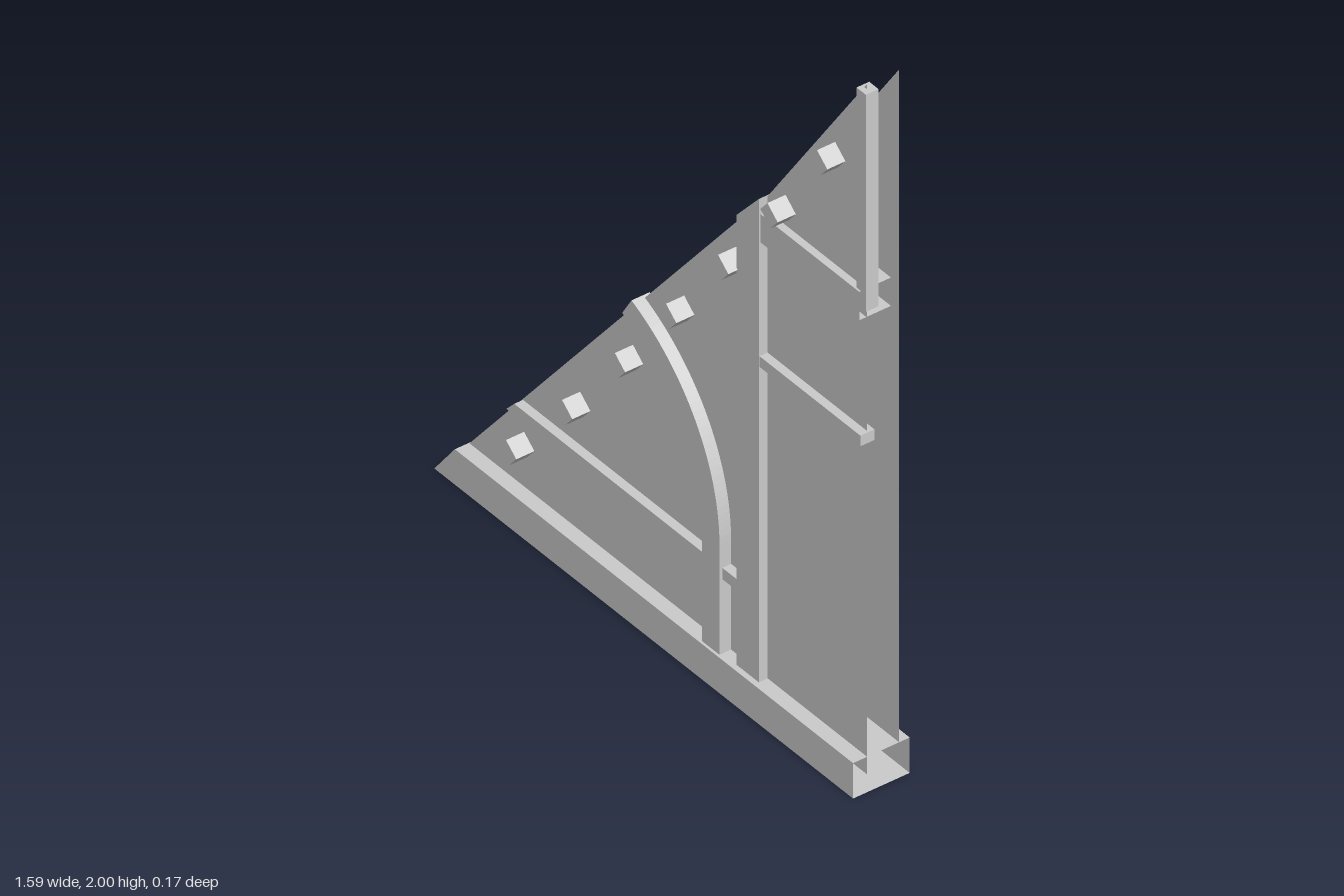
import * as THREE from 'three';

const material = new THREE.MeshStandardMaterial({ color: 0xcccccc, flatShading: true, side: THREE.DoubleSide });

export function createModel() {
  const group = new THREE.Group();

  const add = (name, geometry) => {
    const mesh = new THREE.Mesh(geometry, material);
    mesh.name = name;
    group.add(mesh);
    return mesh;
  };

  // Four-sided timber lofted between two end sections; its ends may stay open
  const timber = (name, a, b, capStart, capEnd) => {
    const pos = [];
    const quad = (p, q, r, s) => [p, q, r, p, r, s].forEach((v) => pos.push(...v));
    for (let i = 0; i < 4; i++) {
      const j = (i + 1) % 4;
      quad(a[i], a[j], b[j], b[i]);
    }
    if (capStart) quad(a[3], a[2], a[1], a[0]);
    if (capEnd) quad(b[0], b[1], b[2], b[3]);
    const geometry = new THREE.BufferGeometry();
    geometry.setAttribute('position', new THREE.Float32BufferAttribute(pos, 3));
    geometry.computeVertexNormals();
    return add(name, geometry);
  };

  // Upright section running from (x0, y0) to (x1, y1), so ends can be mitred
  const endX = (x0, y0, x1, y1, z0, z1) => [[x0, y0, z0], [x0, y0, z1], [x1, y1, z1], [x1, y1, z0]];
  // Level section for a post, with its two sides at different heights
  const endY = (x0, y0, x1, y1, z0, z1) => [[x0, y0, z1], [x1, y1, z1], [x1, y1, z0], [x0, y0, z0]];

  // Hollow sill with a mitred closed end and an open end
  timber('sill', endX(-0.795, 0, -0.718, 0.1, -0.086, 0.075),
    endX(0.775, 0, 0.775, 0.1, -0.086, 0.075), true, false);

  // Two thin gable panels with a gap between them
  const outline = new THREE.Shape([[-0.757, 0.05], [0.775, 0.05], [0.775, 2], [0.405, 1.466]]
    .map(([x, y]) => new THREE.Vector2(x, y)));
  for (const [name, z] of [['frontPanel', 0.035], ['backPanel', -0.056]]) {
    add(name, new THREE.ShapeGeometry(outline)).position.z = z;
  }

  // Main post, cut to the roof slope
  timber('post', endY(0.318, 0.05, 0.402, 0.05, -0.035, 0.06),
    endY(0.318, 1.37, 0.402, 1.465, -0.035, 0.06), false, false);

  // Horizontal rails
  timber('upperBeam', endX(0.38, 1.34, 0.38, 1.42, -0.035, 0.055),
    endX(0.772, 1.34, 0.772, 1.42, -0.035, 0.055), false, false);
  timber('middleRail', endX(0.38, 0.99, 0.38, 1.02, 0.018, 0.058),
    endX(0.78, 0.99, 0.78, 1.02, 0.018, 0.058), true, true);
  timber('lowerRail', endX(-0.545, 0.31, -0.515, 0.342, 0.026, 0.06),
    endX(0.32, 0.31, 0.32, 0.342, 0.026, 0.06), true, true);

  // Short upright at the peak
  timber('peakPost', endY(0.755, 1.372, 0.79, 1.372, 0.014, 0.05),
    endY(0.755, 1.985, 0.79, 1.985, 0.014, 0.05), true, true);

  // Curved brace: straight leg flowing into an arc
  const brace = new THREE.Shape();
  const cx = -0.271, cy = 0.41;
  brace.moveTo(0.2, 0.08);
  brace.lineTo(0.265, 0.08);
  brace.lineTo(0.265, cy);
  brace.absarc(cx, cy, 0.536, 0, THREE.MathUtils.degToRad(67.4), false);
  brace.absarc(cx, cy, 0.471, THREE.MathUtils.degToRad(68.7), 0, true);
  brace.closePath();
  add('curvedBrace', new THREE.ExtrudeGeometry(brace, { depth: 0.052, bevelEnabled: false, curveSegments: 16 }))
    .position.z = 0.016;

  // Purlin ends passing through the front panel along the roof line
  const purlins = [[-0.505, 0.222], [-0.295, 0.46], [-0.097, 0.71], [0.095, 0.963],
    [0.29, 1.217], [0.475, 1.473], [0.661, 1.733]];
  purlins.forEach(([x, y], i) => {
    const purlin = add(`purlin${i + 1}`, new THREE.BoxGeometry(0.05, 0.042, 0.111));
    purlin.position.set(x, y, 0.031);
    // The lowest ones lean the other way
    purlin.rotation.z = THREE.MathUtils.degToRad(i < 7 ? 50.6 - 90 : 40);
  });

  return group;
}
